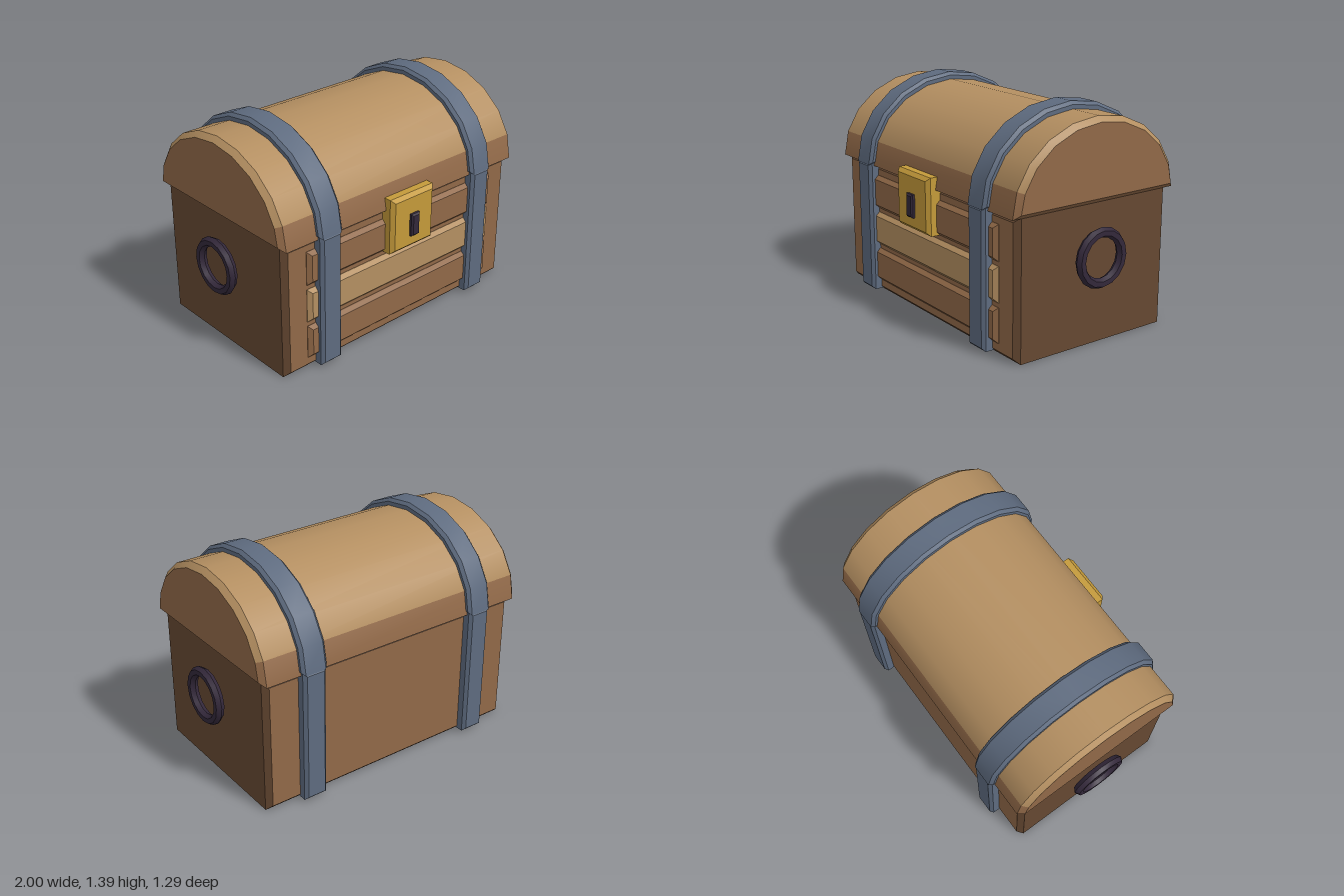
import * as THREE from 'three';
import { toCreasedNormals } from 'three/addons/utils/BufferGeometryUtils.js';

const mat = (name, color) => {
  const m = new THREE.MeshStandardMaterial({ color });
  m.name = name;
  return m;
};

const MID_Z = -0.02; // front-to-back middle of the chest body

// Extrudes a shape to an exact depth, with chamfers cut inside its outline
function chamfered(shape, depth, bevel) {
  const geo = new THREE.ExtrudeGeometry(shape, {
    depth: depth - 2 * bevel, bevelEnabled: true, bevelSegments: 1,
    bevelThickness: bevel, bevelSize: bevel, bevelOffset: -bevel,
  });
  geo.translate(0, 0, bevel - depth / 2);
  return toCreasedNormals(geo, 0.5);
}

// Chamfered block given by its extents
function block(x0, x1, y0, y1, z0, z1, bevel) {
  const w = (x1 - x0) / 2;
  const shape = new THREE.Shape([
    new THREE.Vector2(-w, y0), new THREE.Vector2(w, y0),
    new THREE.Vector2(w, y1), new THREE.Vector2(-w, y1),
  ]);
  const geo = chamfered(shape, z1 - z0, bevel);
  geo.translate((x0 + x1) / 2, 0, (z0 + z1) / 2);
  return geo;
}

// Half ellipse of ten facets, extruded from side to side
function arch(rx, ry, baseY, width, bevel) {
  const pts = [];
  for (let i = 0; i <= 10; i++) {
    const a = (i / 10) * Math.PI;
    pts.push(new THREE.Vector2(rx * Math.cos(a), baseY + ry * Math.sin(a)));
  }
  const geo = chamfered(new THREE.Shape(pts), width, bevel);
  geo.rotateY(Math.PI / 2);
  geo.translate(0, 0, MID_Z);
  return geo;
}

// Marks the side facets below a height with the first material
function regroupBelow(geo, height) {
  const pos = geo.attributes.position;
  const capEnd = geo.groups[0].count;
  geo.clearGroups();
  let start = 0, current = 0;
  for (let i = 0; i < pos.count; i += 3) {
    const y = (pos.getY(i) + pos.getY(i + 1) + pos.getY(i + 2)) / 3;
    const index = i < capEnd || y < height ? 0 : 1;
    if (index !== current) {
      geo.addGroup(start, i - start, current);
      start = i;
      current = index;
    }
  }
  geo.addGroup(start, pos.count - start, current);
  return geo;
}

export function createModel() {
  const brown = mat('brown wood', 0x916948);
  const darkBrown = mat('dark brown wood', 0x654832);
  const tan = mat('tan wood', 0xb48f61);
  const steel = mat('blue grey metal', 0x5e6b7f);
  const gold = mat('gold', 0xc49a3a);
  const dark = mat('dark metal', 0x33283a);

  const root = new THREE.Group();
  root.name = 'treasureChest';
  const add = (name, geo, material) => {
    const mesh = new THREE.Mesh(geo, material);
    mesh.name = name;
    root.add(mesh);
    return mesh;
  };

  // Body: brown front and back panels, dark sides and chamfers
  add('body', block(-0.915, 0.915, 0, 0.857, -0.577, 0.537, 0.032), [brown, darkBrown]);

  // Rounded lid: tan top, brown ends and lower rim
  const lid = arch(0.588, 0.498, 0.85, 1.898, 0.032);
  add('lid', regroupBelow(lid, 1.01), [brown, tan]);

  // Front planks
  [0.08, 0.324, 0.568].forEach((y, i) => {
    add('frontPlank' + (i + 1), block(-0.755, 0.755, y, y + 0.216, 0.5, 0.563, 0.024),
      i === 1 ? tan : brown);
  });

  // Metal straps over the lid and down the front and back
  for (const [side, s] of [['left', 1], ['right', -1]]) {
    const x = 0.615 * s;
    add(side + 'LidStrap', arch(0.621, 0.535, 0.858, 0.172, 0.019), steel).position.x = x;
    add(side + 'FrontStrap', block(x - 0.077, x + 0.077, 0.018, 0.87, 0.5, 0.6, 0.019), steel);
    add(side + 'BackStrap', block(x - 0.077, x + 0.077, 0.018, 0.87, -0.64, -0.54, 0.019), steel);

    // Ring handle on the end of the body
    const ring = new THREE.TorusGeometry(0.152, 0.031, 6, 16);
    ring.rotateY(Math.PI / 2);
    ring.translate(0.973 * s, 0.537, MID_Z);
    add(side + 'RingHandle', toCreasedNormals(ring, 0.6), dark);
  }

  // Lock plate and keyhole
  add('lockPlate', block(-0.173, 0.173, 0.57, 0.928, 0.5, 0.624, 0.023), gold);
  add('keyhole', block(-0.033, 0.033, 0.655, 0.8, 0.59, 0.648, 0.01), dark);

  return root;
}
